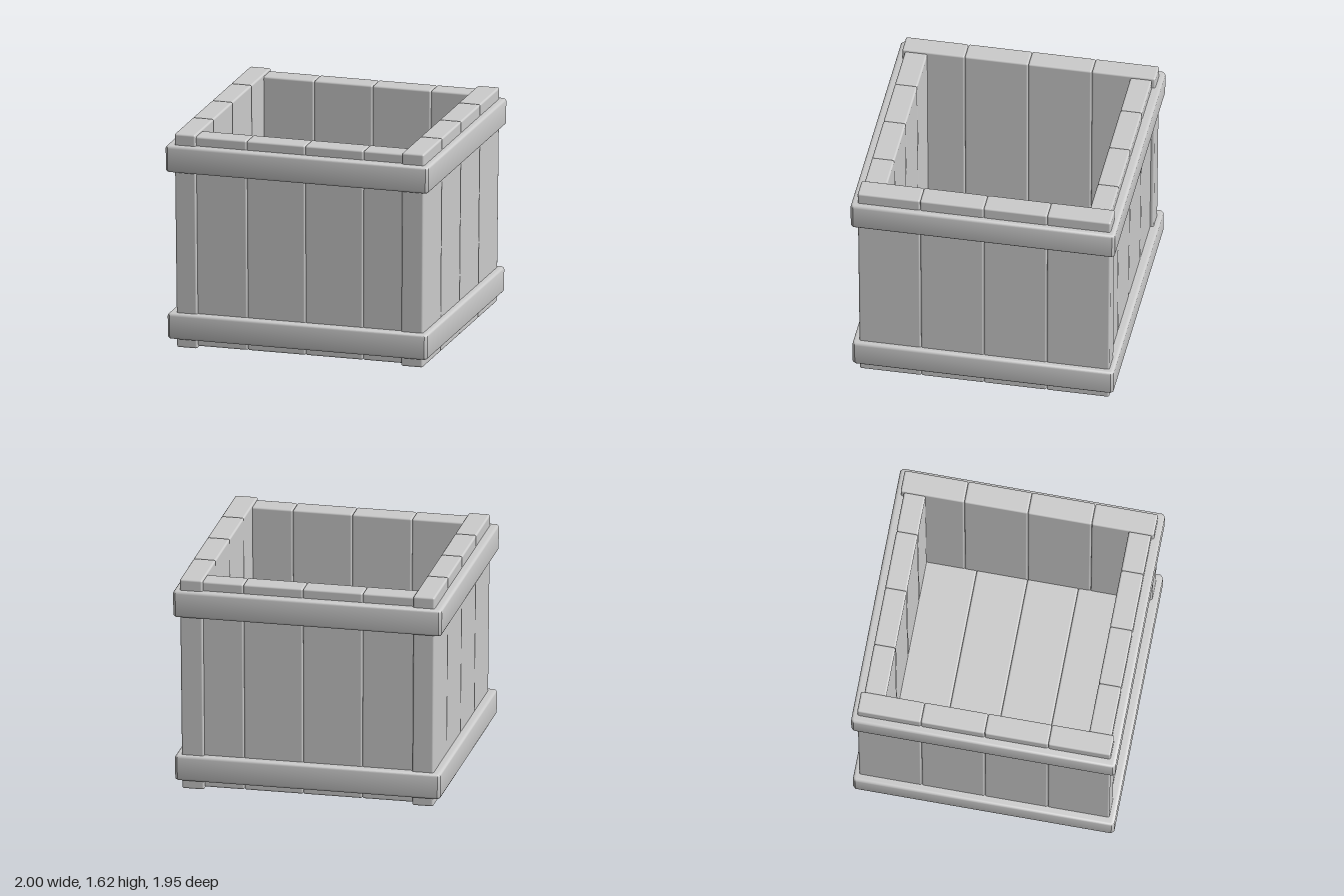
import * as THREE from 'three';
import { RoundedBoxGeometry } from 'three/addons/geometries/RoundedBoxGeometry.js';
import { toCreasedNormals } from 'three/addons/utils/BufferGeometryUtils.js';

const material = new THREE.MeshStandardMaterial({ color: 0xcccccc });

// The crate widens slightly towards its rim.
function taper(geometry) {
  const p = geometry.attributes.position;
  for (let i = 0; i < p.count; i++) {
    const s = 0.985 + 0.015 * p.getY(i) / 1.6;
    p.setX(i, p.getX(i) * s);
    p.setZ(i, p.getZ(i) * s);
  }
  return geometry;
}

// Plank with softened edges, given by its limits on each axis.
function plank(name, [x0, x1], [y0, y1], [z0, z1]) {
  const geometry = new RoundedBoxGeometry(x1 - x0, y1 - y0, z1 - z0, 2, 0.015);
  geometry.translate((x0 + x1) / 2, (y0 + y1) / 2, (z0 + z1) / 2);
  const mesh = new THREE.Mesh(taper(geometry), material);
  mesh.name = name;
  return mesh;
}

// Row of planks between successive cuts.
function plankRow(name, cuts, makePlank) {
  const row = new THREE.Group();
  row.name = name;
  for (let i = 0; i < cuts.length - 1; i++) row.add(makePlank([cuts[i], cuts[i + 1]]));
  return row;
}

// Square outline with tiny cut corners.
function outline(path, x, z, c) {
  const pts = [[x - c, -z], [x, c - z], [x, z - c], [x - c, z], [c - x, z], [-x, z - c], [-x, c - z], [c - x, -z]];
  return path.setFromPoints(pts.map(([a, b]) => new THREE.Vector2(a, b)));
}

// Band that wraps all four walls.
function band(name, y0, y1) {
  const bevel = 0.02;
  const shape = outline(new THREE.Shape(), 1 - bevel, 0.978 - bevel, 0.008);
  shape.holes.push(outline(new THREE.Path(), 0.86, 0.84, 0.008));
  let geometry = new THREE.ExtrudeGeometry(shape, {
    depth: y1 - y0 - 2 * bevel, bevelSize: bevel, bevelThickness: bevel, bevelSegments: 3,
  });
  geometry.rotateX(-Math.PI / 2).translate(0, y0 + bevel, 0);
  geometry = toCreasedNormals(taper(geometry), 0.7);
  const mesh = new THREE.Mesh(geometry, material);
  mesh.name = name;
  return mesh;
}

export function createModel() {
  const crate = new THREE.Group();
  crate.name = 'crate';

  // Side walls run the full depth and stand a little taller
  const sideCuts = [-0.94, -0.47, 0, 0.47, 0.932];
  crate.add(plankRow('leftWall', sideCuts, z => plank('leftPlank', [0.787, 0.955], [0, 1.615], z)));
  crate.add(plankRow('rightWall', sideCuts, z => plank('rightPlank', [-0.942, -0.782], [0, 1.615], z)));

  // Front and back walls fit between the side walls
  const frontCuts = [-0.79, -0.4, 0.045, 0.488, 0.795];
  crate.add(plankRow('frontWall', frontCuts, x => plank('frontPlank', x, [0.015, 1.6], [0.745, 0.912])));
  crate.add(plankRow('backWall', frontCuts, x => plank('backPlank', x, [0.015, 1.6], [-0.915, -0.755])));

  // Floor boards, raised above the lower wall edges
  const floorCuts = [-0.765, -0.38, 0, 0.38, 0.755];
  crate.add(plankRow('floor', floorCuts, z => plank('floorPlank', [-0.79, 0.795], [0.09, 0.24], z)));

  // Upper and lower bands
  crate.add(band('upperBand', 1.33, 1.53), band('lowerBand', 0.07, 0.262));
  return crate;
}
